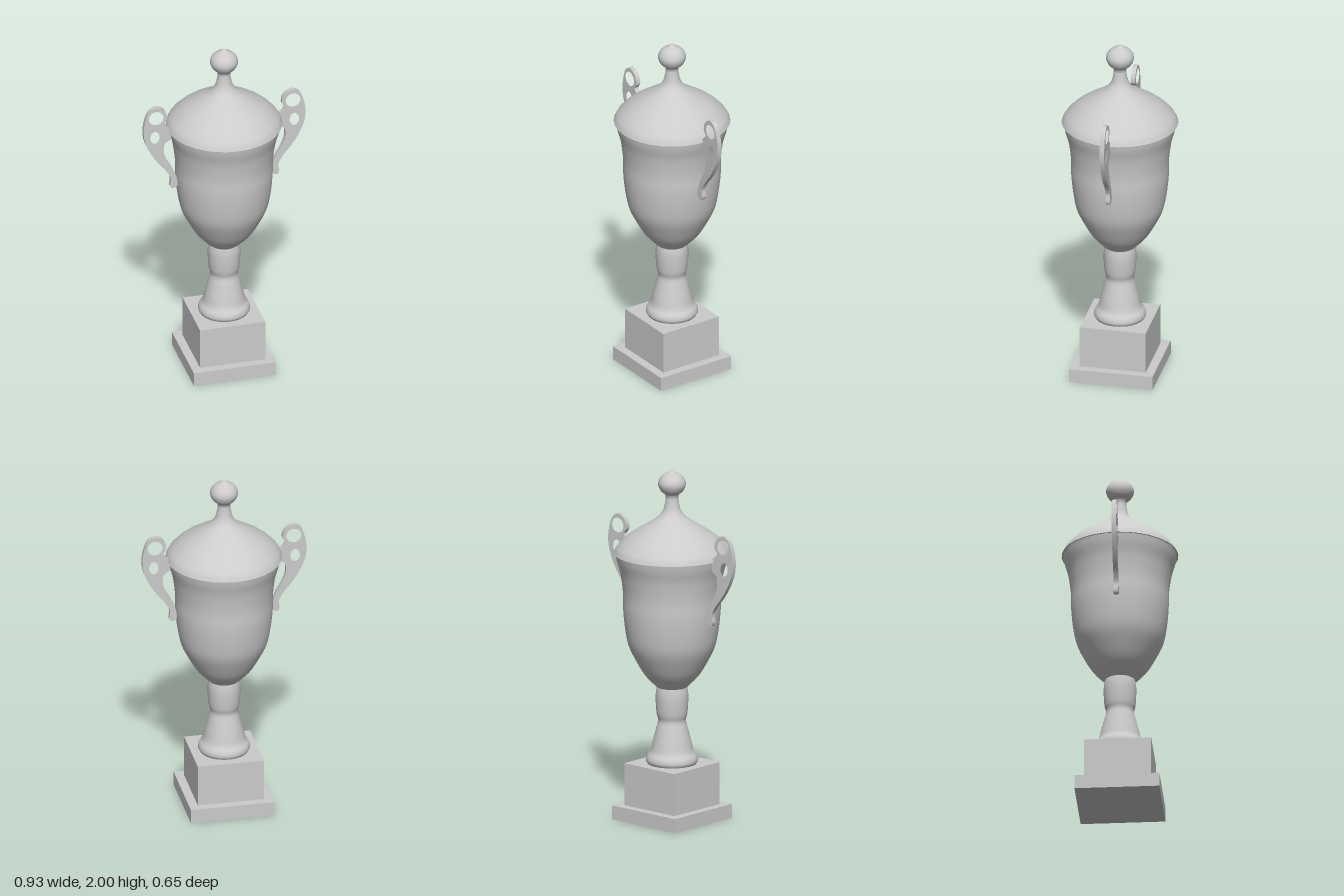
import * as THREE from 'three';

const material = new THREE.MeshStandardMaterial({ color: 0xcccccc });

function add(parent, name, geometry, y = 0) {
  const mesh = new THREE.Mesh(geometry, material);
  mesh.name = name;
  mesh.position.y = y;
  parent.add(mesh);
  return mesh;
}

// Smooth turned part from [radius, height] points, listed bottom to top
function turned(points, samples) {
  const curve = new THREE.CatmullRomCurve3(points.map(([r, y]) => new THREE.Vector3(r, y, 0)), false, 'centripetal');
  const profile = curve.getPoints(samples).map(p => new THREE.Vector2(Math.max(p.x, 0), p.y));
  return new THREE.LatheGeometry(profile, 32);
}

function disc(radius, up) {
  return new THREE.CircleGeometry(radius, 32).rotateX(up ? -Math.PI / 2 : Math.PI / 2);
}

// Flat scrolled handle with two oval holes, drawn on the +x side
function handleGeometry() {
  const outline = [
    [0.397, 1.68], [0.434, 1.656], [0.458, 1.59], [0.465, 1.524], [0.454, 1.46],
    [0.423, 1.39], [0.38, 1.323], [0.333, 1.265], [0.309, 1.217], [0.312, 1.17],
    [0.302, 1.153], [0.272, 1.164], [0.274, 1.217], [0.296, 1.275], [0.331, 1.339],
    [0.348, 1.39], [0.342, 1.444], [0.305, 1.475], [0.31, 1.53], [0.33, 1.55],
    [0.347, 1.575], [0.33, 1.6], [0.335, 1.64], [0.36, 1.67],
  ].map(([x, y]) => new THREE.Vector3(x, y, 0));
  const loop = new THREE.CatmullRomCurve3(outline, true, 'centripetal').getPoints(96).slice(0, -1);
  const shape = new THREE.Shape(loop.map(p => new THREE.Vector2(p.x, p.y)));
  for (const [x, y, rx, ry] of [[0.393, 1.614, 0.042, 0.042], [0.4, 1.492, 0.027, 0.038]]) {
    shape.holes.push(new THREE.Path().absellipse(x, y, rx, ry, 0, Math.PI * 2, true));
  }
  return new THREE.ExtrudeGeometry(shape, { depth: 0.026, bevelEnabled: false, curveSegments: 10 })
    .translate(0, 0, -0.013);
}

export function createModel() {
  const trophy = new THREE.Group();
  trophy.name = 'trophyCup';

  // Stepped square plinth
  add(trophy, 'plinthStep', new THREE.BoxGeometry(0.472, 0.08, 0.472), 0.04);
  add(trophy, 'plinthBlock', new THREE.BoxGeometry(0.374, 0.245, 0.374), 0.1975);

  // Flared foot and stem
  add(trophy, 'stem', turned([
    [0.135, 0.318], [0.144, 0.335], [0.14, 0.36], [0.121, 0.39], [0.106, 0.45], [0.088, 0.52],
    [0.077, 0.565], [0.085, 0.6], [0.09, 0.66], [0.09, 0.72], [0.082, 0.77],
  ], 40));

  // Deep bowl
  add(trophy, 'bowl', turned([
    [0.078, 0.75], [0.105, 0.775], [0.155, 0.83], [0.2, 0.905], [0.24, 0.99], [0.259, 1.08],
    [0.271, 1.2], [0.272, 1.29], [0.281, 1.37], [0.29, 1.42], [0.307, 1.48], [0.315, 1.52],
  ], 48));

  // Domed lid with its underside
  add(trophy, 'lid', turned([
    [0.324, 1.52], [0.307, 1.553], [0.25, 1.61], [0.19, 1.652], [0.13, 1.69],
    [0.08, 1.725], [0.052, 1.76], [0.04, 1.8], [0.034, 1.84],
  ], 40));
  add(trophy, 'lidUnderside', disc(0.324, false), 1.52);

  // Knob on top of the lid
  add(trophy, 'finial', turned([
    [0.033, 1.83], [0.04, 1.855], [0.062, 1.875], [0.077, 1.908], [0.074, 1.935],
    [0.055, 1.962], [0.025, 1.98], [0, 2],
  ], 32));

  // Handles, the same on both sides
  const geometry = handleGeometry();
  add(trophy, 'leftHandle', geometry);
  add(trophy, 'rightHandle', geometry).rotation.y = Math.PI;

  return trophy;
}
